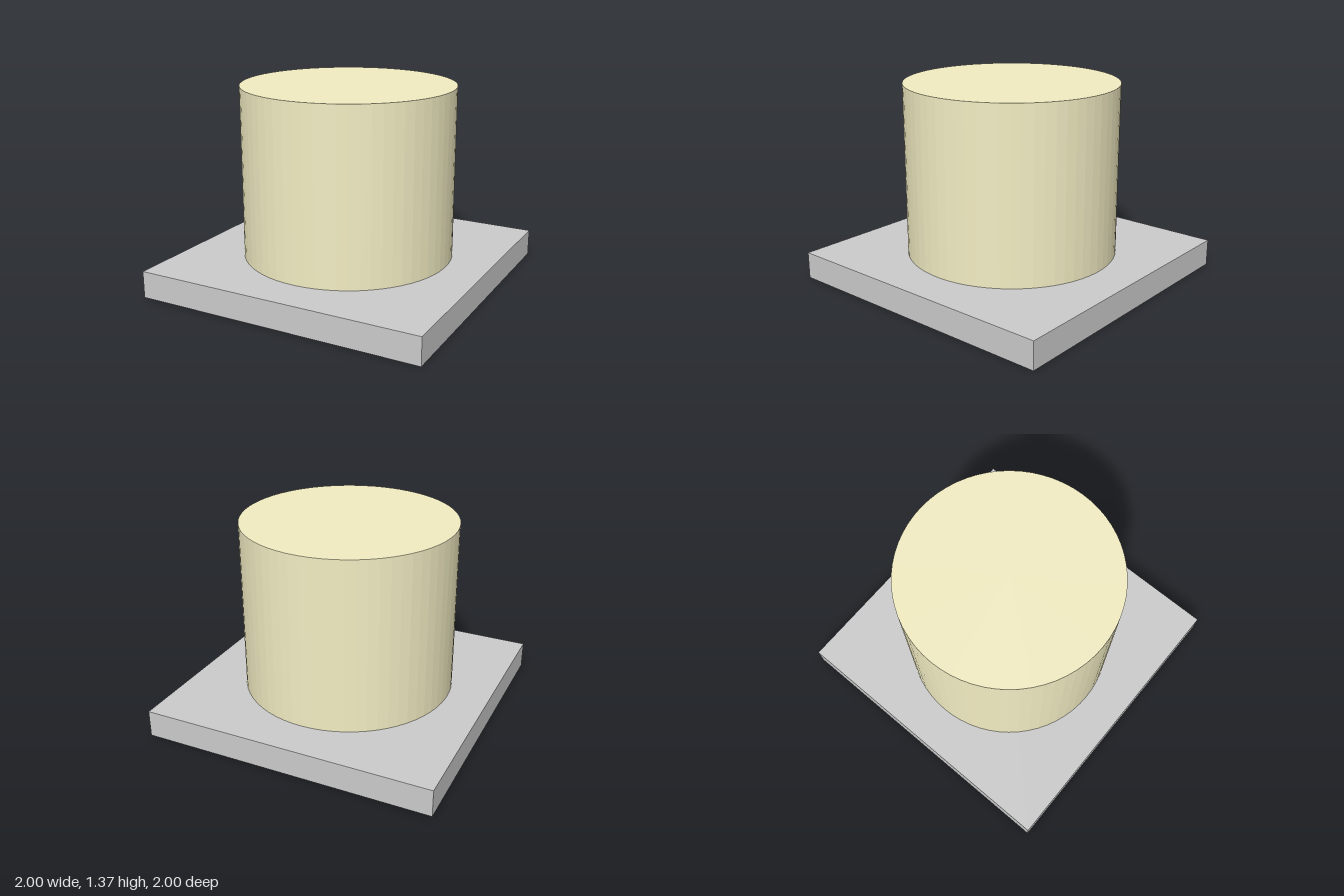
import * as THREE from 'three';

export function createModel() {
  const group = new THREE.Group();
  const baseHeight = 0.185, cakeHeight = 1.18, cakeRadius = 0.725;

  // Square board standing on the ground
  const board = new THREE.Mesh(
    new THREE.BoxGeometry(2, baseHeight, 2),
    new THREE.MeshStandardMaterial({ color: 0xcccccc })
  );
  board.name = 'board';
  board.position.y = baseHeight / 2;
  group.add(board);

  // Plain round cake with faceted sides
  const cake = new THREE.Mesh(
    new THREE.CylinderGeometry(cakeRadius, cakeRadius, cakeHeight, 64),
    new THREE.MeshStandardMaterial({ color: 0xf3edc3, flatShading: true })
  );
  cake.name = 'cake';
  cake.position.y = baseHeight + cakeHeight / 2;
  group.add(cake);

  return group;
}
